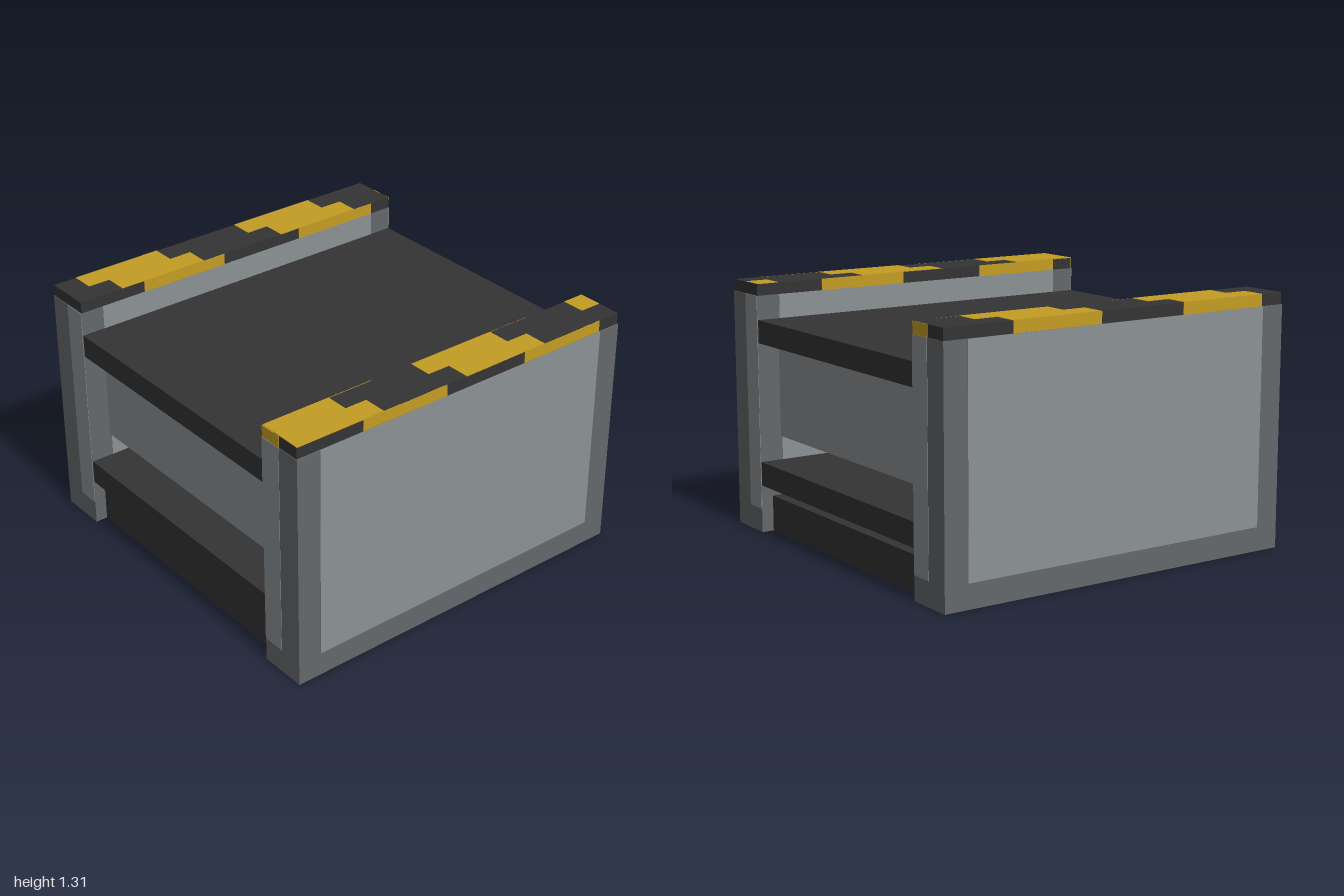
import * as THREE from 'three';

export function createModel() {
  const model = new THREE.Group();
  const material = (name, color) => {
    const m = new THREE.MeshStandardMaterial({ color });
    m.name = name;
    return m;
  };
  const charcoal = material('charcoal', 0x343434);
  const steel = material('light steel', 0x8c9194);
  const frame = material('dark steel', 0x64686a);
  const yellow = material('warning yellow', 0xc49d24);

  // Box given by its range on each axis; ranges may run either way
  const box = (parent, name, mat, x, y, z) => {
    const size = [x, y, z].map(([a, b]) => Math.abs(b - a));
    const mid = [x, y, z].map(([a, b]) => (a + b) / 2);
    const mesh = new THREE.Mesh(new THREE.BoxGeometry(...size), mat);
    mesh.position.set(...mid);
    mesh.name = name;
    parent.add(mesh);
  };
  const group = (name) => {
    const g = new THREE.Group();
    g.name = name;
    model.add(g);
    return g;
  };

  const IN = 0.745, MID = 0.868, OUT = 1, CAP = 0.993;
  const WALL = 1.245, TOP = 1.305, RIM = 0.125, INSET = 0.872, E = 0.002;
  const skin = (v) => [v - E, v + E]; // thin plate around a surface

  // Deck, core and shelf between the walls
  const span = [-IN, IN];
  box(model, 'topDeck', charcoal, span, [1, 1.12], [-0.996, 0.996]);
  box(model, 'corePanel', steel, span, [0.5, 1], [-0.88, 0.88]);
  box(model, 'lowerShelf', charcoal, span, [0.25, 0.375], [-0.996, 0.996]);
  for (const s of [1, -1]) {
    box(model, s > 0 ? 'frontBar' : 'backBar', charcoal, span, [0, 0.188], [s * 0.81, s * 0.935]);
  }

  // Stripe ranges along z: on cap sides facing +x and -x
  const sidePlus = [[0.12, 0.62], [-0.87, -0.37]];
  const sideMinus = [[-0.62, -0.12], [0.37, 0.87]];
  // Stripe ranges along z on the cap tops, for the outer and inner halves
  const capTops = {
    1: { outer: [[-0.5, 0], [0.5, 0.995]], inner: [[-0.995, -0.875], [-0.375, 0.125], [0.62, 0.995]] },
    '-1': { outer: [[-0.625, -0.125], [0.375, 0.87]], inner: [[-0.75, -0.25], [0.25, 0.75]] },
  };

  for (const s of [1, -1]) {
    const side = s > 0 ? 'left' : 'right';
    const xr = (a, b) => [s * a, s * b];
    const bodyY = [RIM, WALL];
    const bodyZ = [-INSET, INSET];

    // Wall with a dark rim and light panels on every face
    const wall = group(side + 'Wall');
    box(wall, 'wallFrame', frame, xr(IN, OUT), [0, WALL], [-1, 1]);
    box(wall, 'outerPanel', steel, skin(s * OUT), bodyY, bodyZ);
    box(wall, 'innerPanel', steel, skin(s * IN), bodyY, bodyZ);
    box(wall, 'bottomPanel', steel, xr(IN, MID), skin(0).map((v) => v + E), bodyZ);
    wall.children.at(-1).position.y = 0;
    for (const f of [1, -1]) {
      box(wall, f > 0 ? 'frontPanel' : 'backPanel', steel, xr(IN, MID), bodyY, skin(f));
    }

    // Cap rail with stepped warning stripes
    const rail = group(side + 'Rail');
    box(rail, 'railCap', charcoal, xr(IN, CAP), [WALL, TOP], [-0.997, 0.997]);
    const railY = [WALL, TOP];
    for (const z of s > 0 ? sidePlus : sideMinus) box(rail, 'outerStripe', yellow, skin(s * CAP), railY, z);
    for (const z of s > 0 ? sideMinus : sidePlus) box(rail, 'innerStripe', yellow, skin(s * IN), railY, z);
    for (const z of capTops[s].outer) box(rail, 'topStripe', yellow, xr(MID, CAP), skin(TOP), z);
    for (const z of capTops[s].inner) box(rail, 'topStripe', yellow, xr(IN, MID), skin(TOP), z);
    // One painted end per rail: front on the left, back on the right
    box(rail, 'endStripe', yellow, xr(IN, MID), railY, skin(s * 0.997));
  }

  return model;
}
